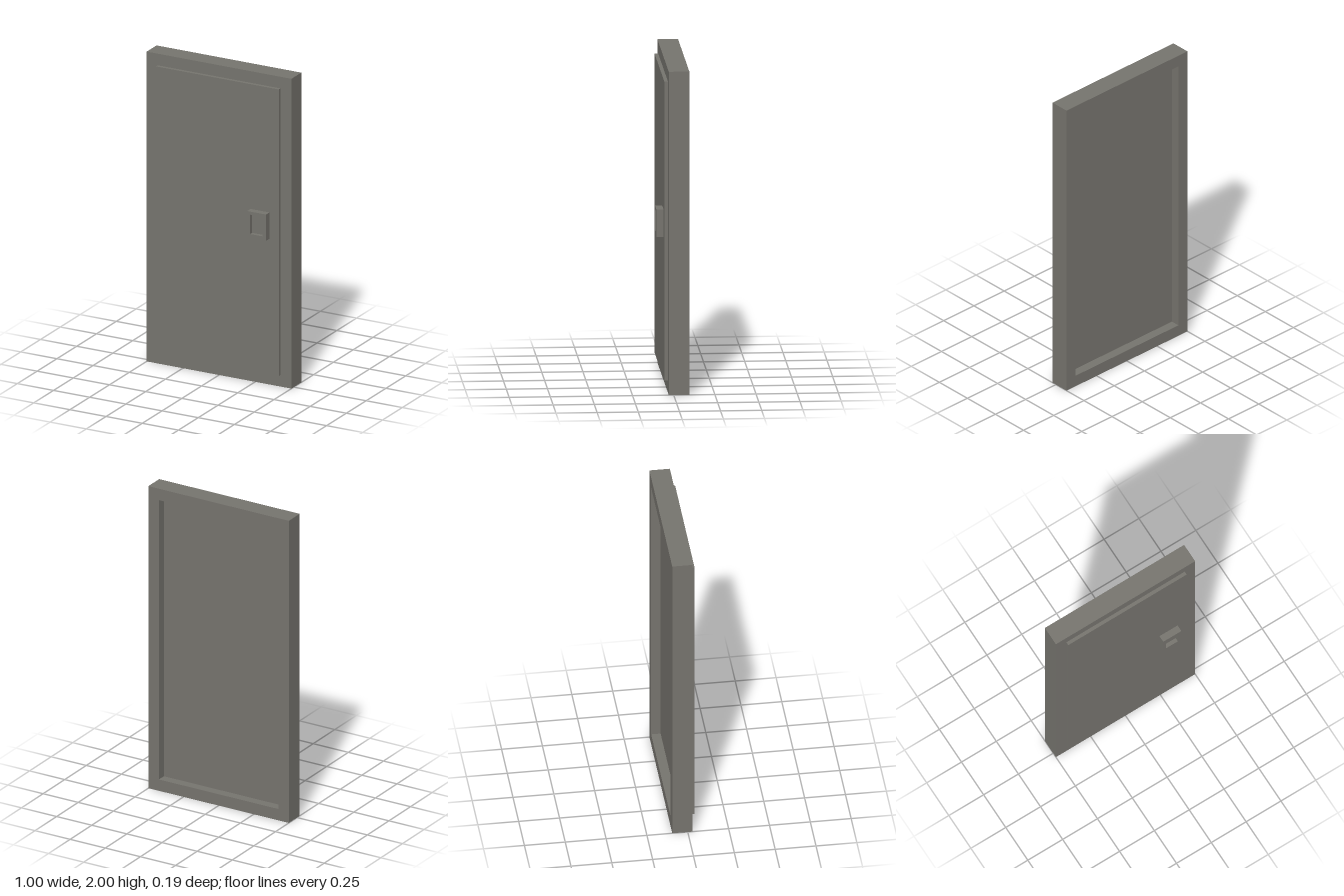
import * as THREE from 'three';

const rect = (T, x0, y0, x1, y1) => {
  const p = new T();
  p.moveTo(x0, y0);
  p.lineTo(x1, y0);
  p.lineTo(x1, y1);
  p.lineTo(x0, y1);
  p.closePath();
  return p;
};

// Rectangular ring: outer and inner bounds are [x0, y0, x1, y1]
function ring(outer, inner, z0, z1) {
  const shape = rect(THREE.Shape, ...outer);
  shape.holes.push(rect(THREE.Path, ...inner));
  const geometry = new THREE.ExtrudeGeometry(shape, { depth: z1 - z0, bevelEnabled: false });
  return geometry.translate(0, 0, z0);
}

function block([x0, y0, x1, y1], z0, z1) {
  const geometry = new THREE.BoxGeometry(x1 - x0, y1 - y0, z1 - z0);
  return geometry.translate((x0 + x1) / 2, (y0 + y1) / 2, (z0 + z1) / 2);
}

export function createModel() {
  const metal = new THREE.MeshStandardMaterial({ color: 0x76746e });
  metal.name = 'greyMetal';

  const door = new THREE.Group();
  door.name = 'door';
  const add = (name, geometry, parent = door) => {
    const mesh = new THREE.Mesh(geometry, metal);
    mesh.name = name;
    parent.add(mesh);
  };

  // Surround and the leaf, which stands proud in front and is recessed behind
  const opening = [-0.425, 0.075, 0.425, 1.925];
  add('frame', ring([-0.5, 0, 0.5, 2], opening, -0.095, 0.03));
  add('doorPanel', block(opening, -0.037, 0.052));

  // Handle box with a sunken pocket
  const handle = new THREE.Group();
  handle.name = 'handle';
  door.add(handle);
  const pocket = [0.25, 0.975, 0.335, 1.1];
  add('handleRim', ring([0.23, 0.95, 0.36, 1.12], pocket, 0.052, 0.095), handle);
  add('handlePocket', block(pocket, 0.052, 0.07), handle);

  return door;
}
